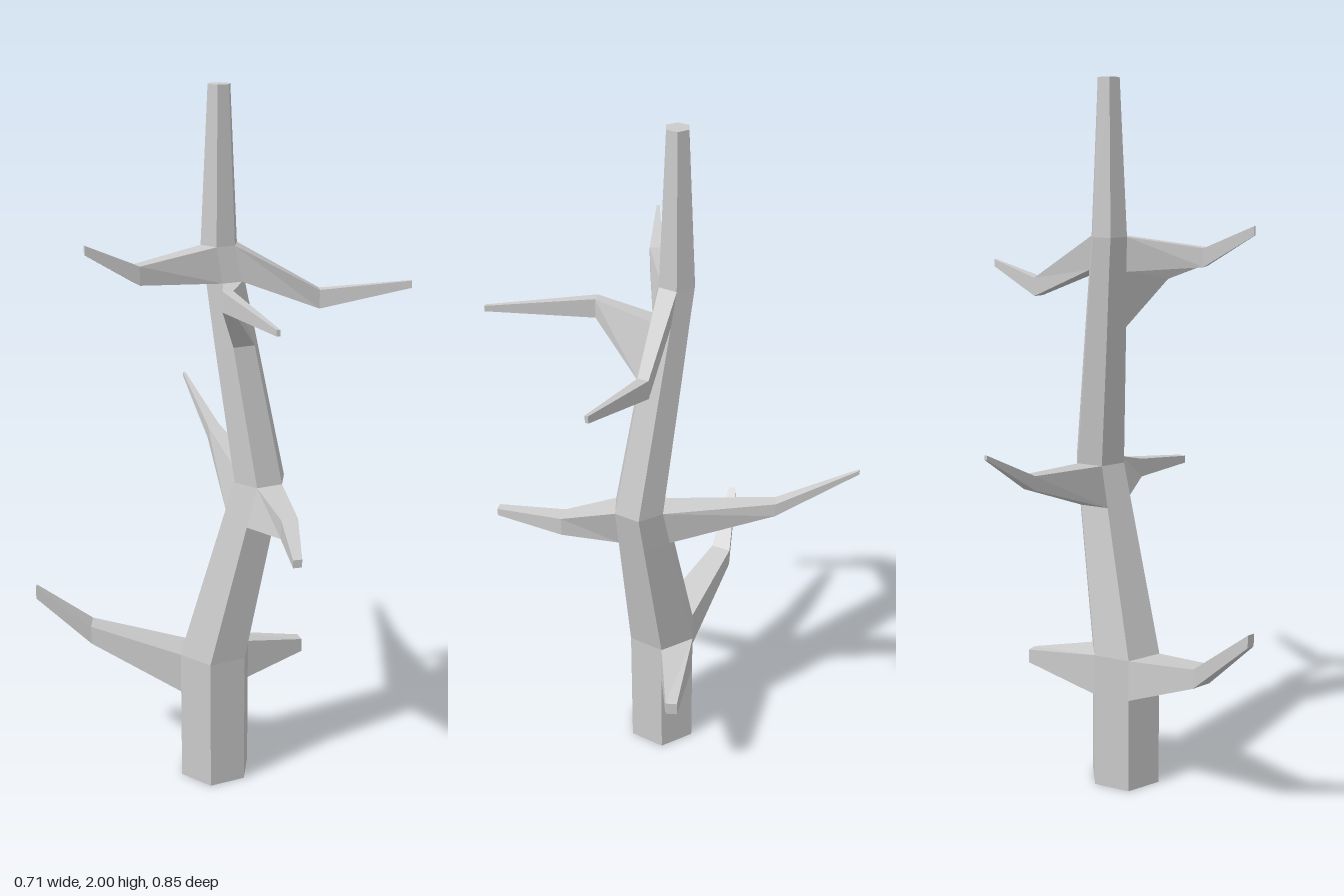
import * as THREE from 'three';

const material = new THREE.MeshStandardMaterial({ color: 0xcccccc, flatShading: true });

// Skin a list of cross-sections (counter-clockwise seen from the far end), closed at both ends
function loft(name, rings) {
  const pos = [];
  const tri = (...pts) => pts.forEach((p) => pos.push(p.x, p.y, p.z));
  const n = rings[0].length;
  for (let r = 0; r + 1 < rings.length; r++) {
    const P = rings[r], Q = rings[r + 1];
    for (let i = 0; i < n; i++) {
      const j = (i + 1) % n;
      tri(P[i], P[j], Q[j]);
      tri(P[i], Q[j], Q[i]);
    }
  }
  const first = rings[0], last = rings[rings.length - 1];
  for (let i = 1; i + 1 < n; i++) {
    tri(first[0], first[i + 1], first[i]);
    tri(last[0], last[i], last[i + 1]);
  }
  const geometry = new THREE.BufferGeometry();
  geometry.setAttribute('position', new THREE.Float32BufferAttribute(pos, 3));
  geometry.computeVertexNormals();
  const mesh = new THREE.Mesh(geometry, material);
  mesh.name = name;
  return mesh;
}

// Horizontal hexagon with a corner facing the front
function hexagon([x, y, z, radius]) {
  return Array.from({ length: 6 }, (_, i) => {
    const a = (i * Math.PI) / 3;
    return new THREE.Vector3(x + radius * Math.sin(a), y, z + radius * Math.cos(a));
  });
}

// Trunk sections: x, y, z, radius
const trunkSections = [
  [-0.033, 0, 0, 0.107],
  [-0.033, 0.28, 0, 0.107],
  [-0.033, 0.4, 0, 0.107],
  [0.019, 0.82, 0.084, 0.083],
  [0.033, 0.935, 0.107, 0.076],
  [0.022, 1.32, 0.032, 0.063],
  [0.018, 1.49, -0.001, 0.056],
  [0.015, 1.585, -0.02, 0.053],
  [0.016, 2, -0.02, 0.032],
];

// Branches grow from one trunk face (0 = front right, counted towards the back)
// between two trunk sections; each further section is x, y, z, width, height
const branches = [
  { name: 'lowerBackBranch', face: 3, from: 1,
    sections: [[-0.212, 0.435, -0.315, 0.06, 0.055], [-0.325, 0.575, -0.424, 0.022, 0.035]] },
  { name: 'lowerStub', face: 1, from: 1,
    sections: [[0.237, 0.34, 0.12, 0.033, 0.04]] },
  { name: 'middleFrontBranch', face: 5, from: 3,
    sections: [[-0.085, 0.868, 0.287, 0.047, 0.055], [-0.241, 0.858, 0.416, 0.024, 0.022]] },
  { name: 'middleBackBranch', face: 2, from: 3,
    sections: [[0.24, 0.953, -0.206, 0.036, 0.04], [0.35, 1.07, -0.4, 0.008, 0.012]] },
  { name: 'upperFrontBranch', face: 5, from: 5,
    sections: [[-0.15, 1.48, 0.13, 0.028, 0.055], [-0.299, 1.472, 0.386, 0.009, 0.016]] },
  { name: 'topRightBranch', face: 4, from: 6,
    sections: [[-0.236, 1.535, -0.098, 0.036, 0.05], [-0.355, 1.61, -0.17, 0.008, 0.025]] },
  { name: 'topLeftBranch', face: 0, from: 6,
    sections: [[0.203, 1.427, 0.182, 0.03, 0.052], [0.326, 1.473, 0.398, 0.009, 0.02]] },
];

function buildBranch({ name, face, from, sections }, trunkRings) {
  const next = (face + 1) % 6;
  const low = trunkRings[from], high = trunkRings[from + 1];
  const base = [low[face], low[next], high[next], high[face]];
  const root = base[0].clone().add(base[2]).multiplyScalar(0.5);

  // Rectangles stand upright, square to the branch's overall heading
  const tip = sections[sections.length - 1];
  const side = new THREE.Vector3(tip[2] - root.z, 0, -(tip[0] - root.x)).normalize();
  const corners = [[-1, -1], [1, -1], [1, 1], [-1, 1]];
  const rings = sections.map(([x, y, z, w, h]) =>
    corners.map(([u, v]) =>
      new THREE.Vector3(x, y + (v * h) / 2, z).addScaledVector(side, (u * w) / 2)));
  return loft(name, [base, ...rings]);
}

export function createModel() {
  const tree = new THREE.Group();
  tree.name = 'bareTree';
  const trunkRings = trunkSections.map(hexagon);
  tree.add(loft('trunk', trunkRings));
  for (const branch of branches) tree.add(buildBranch(branch, trunkRings));
  return tree;
}
